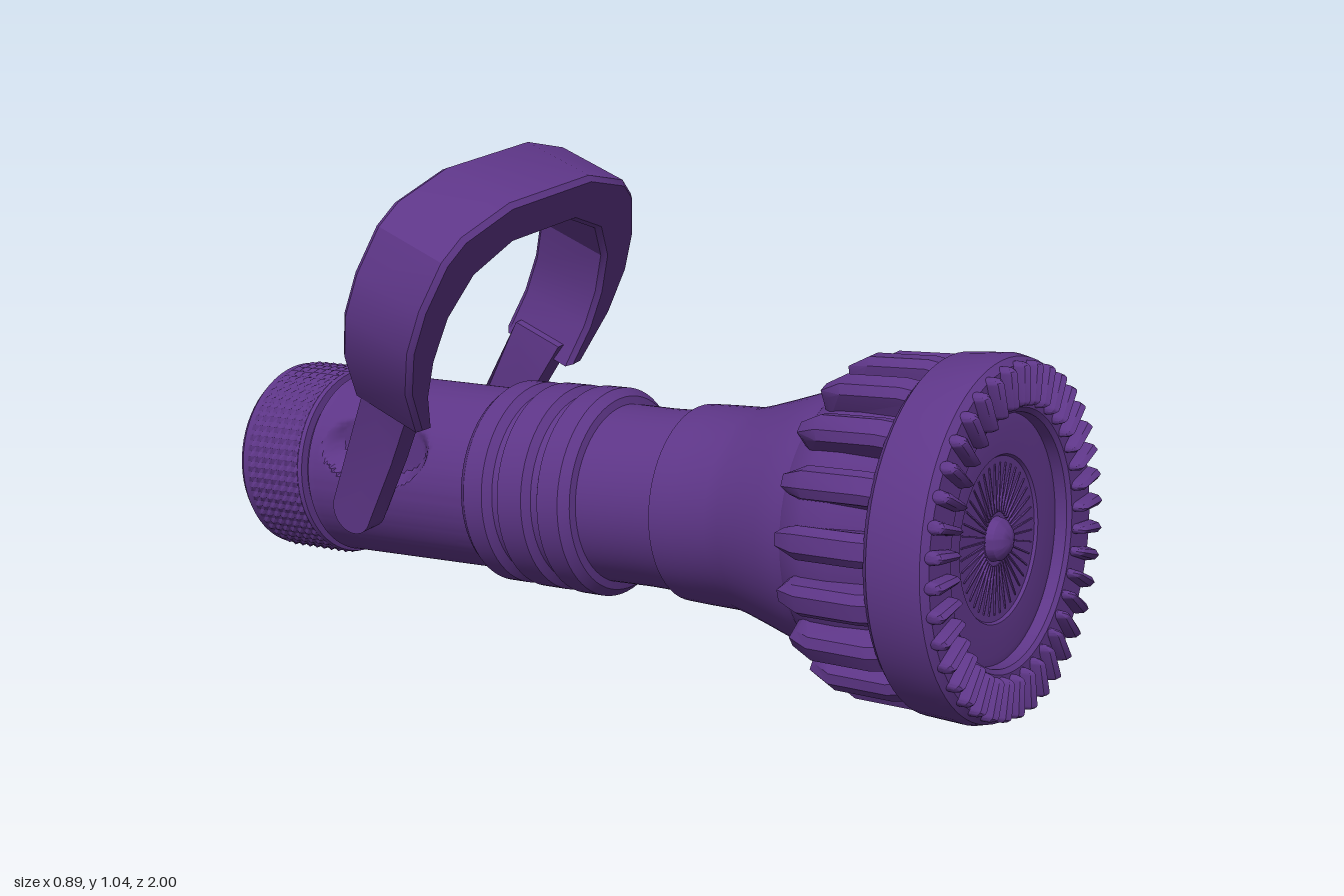
import * as THREE from 'three';
import { toCreasedNormals } from 'three/addons/utils/BufferGeometryUtils.js';

const material = new THREE.MeshStandardMaterial({ color: 0x5e3688, side: THREE.DoubleSide });

function add(parent, name, geometry, crease = 0.5) {
  const mesh = new THREE.Mesh(toCreasedNormals(geometry, crease), material);
  mesh.name = name;
  parent.add(mesh);
}

// Turned part along z, from [radius, z] pairs
function turned(profile, segments = 64) {
  const points = profile.map(([r, z]) => new THREE.Vector2(r, z));
  return new THREE.LatheGeometry(points, segments).rotateX(Math.PI / 2);
}

function outline(points) {
  return new THREE.Shape(points.map(([x, y]) => new THREE.Vector2(x, y)));
}

// Repeats one geometry around the z axis
function radial(parent, name, count, geometry, offset = 0) {
  const set = new THREE.Group();
  set.name = name + 's';
  const creased = toCreasedNormals(geometry, 0.5);
  for (let i = 0; i < count; i++) {
    const mesh = new THREE.Mesh(creased, material);
    mesh.name = name;
    mesh.rotation.z = ((i + offset) / count) * Math.PI * 2;
    set.add(mesh);
  }
  parent.add(set);
}

function buildBarrel(nozzle) {
  // Rear body with a long oval pocket pressed into each upper side
  const profile = [[0.17, -0.8], [0.2, -0.79], [0.2, -0.765], [0.212, -0.76]];
  for (let z = -0.75; z < -0.3; z += 0.0075) profile.push([0.211 - (z + 0.75) * 0.012, z]);
  profile.push([0.205, -0.28]);
  const body = turned(profile, 160);
  const p = body.attributes.position;
  for (let i = 0; i < p.count; i++) {
    const x = p.getX(i);
    const d = Math.hypot((p.getZ(i) + 0.57) / 0.155, (p.getY(i) - 0.095) / 0.085);
    const press = THREE.MathUtils.clamp((1 - d) * 5, 0, 1);
    p.setX(i, THREE.MathUtils.lerp(x, THREE.MathUtils.clamp(x, -0.15, 0.15), press));
  }
  add(nozzle, 'rearBody', body);

  // Three bumper rings
  add(nozzle, 'bumperRings', turned([
    [0.2, -0.31], [0.218, -0.3], [0.228, -0.285], [0.228, -0.235], [0.21, -0.22],
    [0.21, -0.205], [0.23, -0.19], [0.23, -0.125], [0.212, -0.112], [0.212, -0.095],
    [0.232, -0.08], [0.232, -0.025], [0.215, -0.005], [0.19, 0]]));

  // Neck flaring into the head
  add(nozzle, 'neck', turned([
    [0.198, -0.02], [0.196, 0.1], [0.198, 0.195], [0.214, 0.2], [0.216, 0.25],
    [0.218, 0.34], [0.228, 0.38], [0.243, 0.43], [0.262, 0.49], [0.275, 0.54], [0.28, 0.6]]));
}

function buildCoupling(nozzle) {
  // Threaded bore and rounded rear rim
  const profile = [[0, -0.7], [0.135, -0.7], [0.135, -0.74]];
  for (let i = 0; i < 7; i++) {
    const z = -0.76 - i * 0.024;
    profile.push([0.155, z], [0.143, z - 0.012]);
  }
  profile.push([0.158, -0.95], [0.165, -0.975], [0.18, -0.982], [0.205, -0.978], [0.219, -0.96], [0.219, -0.93]);
  add(nozzle, 'couplingBore', turned(profile));

  // Knurled sleeve with small pyramids
  const rows = 14;
  const sleeve = [];
  for (let j = 0; j <= rows; j++) sleeve.push([0.219, -0.945 + j * 0.0115]);
  const knurl = turned(sleeve, 112);
  const p = knurl.attributes.position;
  for (let i = 0; i < p.count; i++) {
    const ring = Math.floor(i / (rows + 1));
    const row = i % (rows + 1);
    const k = row % 2 === 1 && ring % 2 === 0 ? 1.025 : 1;
    p.setXY(i, p.getX(i) * k, p.getY(i) * k);
  }
  add(nozzle, 'knurledSleeve', knurl, 0.1);
  add(nozzle, 'couplingCollar', turned([[0.219, -0.79], [0.221, -0.785], [0.218, -0.775], [0.195, -0.772]]));
}

function buildHead(nozzle) {
  // Drum, front ring and recessed channel
  add(nozzle, 'headDrum', turned([
    [0.26, 0.54], [0.285, 0.57], [0.3, 0.62], [0.303, 0.68], [0.303, 0.78], [0.355, 0.795],
    [0.37, 0.81], [0.375, 0.9], [0.369, 0.925], [0.354, 0.937], [0.268, 0.937],
    [0.258, 0.93], [0.255, 0.89], [0.23, 0.89]], 72));

  // Grip lugs with sloping sides and tapered rear ends
  const lug = new THREE.ExtrudeGeometry(
    outline([[0.28, 0.6], [0.325, 0.6], [0.344, 0.64], [0.347, 0.77], [0.34, 0.81], [0.28, 0.81]]),
    { depth: 0.036, bevelThickness: 0.016, bevelSize: 0.016, bevelSegments: 1 });
  lug.translate(0, 0, -0.018).rotateX(Math.PI / 2);
  // Profile height runs along the nozzle after the turn; the rear end narrows
  const p = lug.attributes.position;
  for (let i = 0; i < p.count; i++) {
    if (p.getZ(i) < 0.625) p.setY(i, p.getY(i) * 0.7);
  }
  radial(nozzle, 'gripLug', 18, lug, 0.5);

  // Teardrop teeth around the front rim, thicker outside
  const tooth = new THREE.CapsuleGeometry(0.0125, 0.066, 4, 8);
  const t = tooth.attributes.position;
  for (let i = 0; i < t.count; i++) t.setX(i, t.getX(i) * (1 + t.getY(i) * 5));
  tooth.scale(1, 1, 2.2).translate(0, 0.317, 0.94);
  radial(nozzle, 'rimTooth', 38, tooth, 0.35);

  // Recessed face disc with a shallow dish and a centre dome
  add(nozzle, 'faceDisc', turned([
    [0.256, 0.885], [0.256, 0.905], [0.24, 0.908], [0.172, 0.906], [0.168, 0.9],
    [0.046, 0.896], [0.042, 0.912], [0.028, 0.925], [0.012, 0.931], [0, 0.932]]));
  const rib = new THREE.BoxGeometry(0.003, 0.1, 0.006).translate(0, 0.105, 0.899);
  radial(nozzle, 'faceRib', 40, rib);
}

function buildHandle(nozzle) {
  const handle = new THREE.Group();
  handle.name = 'handle';
  handle.position.set(-0.003, -0.018, -0.578);
  handle.rotation.set(0.41, 0, 0.056);
  nozzle.add(handle);

  // Wide bow, mirrored from its left half
  const outer = [[0.29, 0.3], [0.36, 0.42], [0.386, 0.53], [0.376, 0.63], [0.335, 0.735], [0.285, 0.782], [0.14, 0.828]];
  const inner = [[0.245, 0.3], [0.282, 0.4], [0.291, 0.49], [0.275, 0.59], [0.22, 0.675], [0.11, 0.725]];
  const mirrored = (half) => half.map(([x, y]) => [-x, y]);
  const bow = new THREE.ExtrudeGeometry(
    outline([...outer, ...mirrored(outer).reverse(), ...mirrored(inner), ...[...inner].reverse()]),
    { depth: 0.176, bevelThickness: 0.012, bevelSize: 0.01, bevelOffset: -0.01, bevelSegments: 1 });
  add(handle, 'bow', bow.translate(0, 0, -0.033), 0.35);

  // Narrow arms with round ends, bending outward to meet the bow
  const arm = new THREE.Shape();
  arm.moveTo(0.055, 0);
  arm.lineTo(0.08, 0.17);
  arm.lineTo(0.115, 0.34);
  arm.lineTo(-0.015, 0.34);
  arm.lineTo(-0.035, 0.17);
  arm.lineTo(-0.055, 0);
  arm.absarc(0, 0, 0.055, Math.PI, Math.PI * 2, false);
  for (const side of [-1, 1]) {
    const geometry = new THREE.ExtrudeGeometry(arm, { depth: 0.055, bevelEnabled: false, curveSegments: 10 });
    geometry.rotateY(-Math.PI / 2).translate(side < 0 ? -0.21 : 0.265, 0, 0);
    const p = geometry.attributes.position;
    for (let i = 0; i < p.count; i++) p.setX(i, p.getX(i) + side * Math.max(0, p.getY(i) - 0.17) * 0.17);
    add(handle, side < 0 ? 'rightArm' : 'leftArm', geometry);
    const pin = new THREE.CylinderGeometry(0.04, 0.04, 0.07, 20).rotateZ(Math.PI / 2);
    add(handle, 'pivotPin', pin.translate(side * 0.195, 0, 0));
  }
}

export function createModel() {
  const model = new THREE.Group();
  model.name = 'hoseNozzle';

  // The nozzle lies slightly yawed and pitched, resting on its rims
  const nozzle = new THREE.Group();
  nozzle.name = 'nozzle';
  nozzle.position.set(0.003, 0.309, 0);
  nozzle.rotation.set(-0.084, 0.075, 0, 'YXZ');
  model.add(nozzle);

  buildBarrel(nozzle);
  buildCoupling(nozzle);
  buildHead(nozzle);
  buildHandle(nozzle);
  return model;
}
